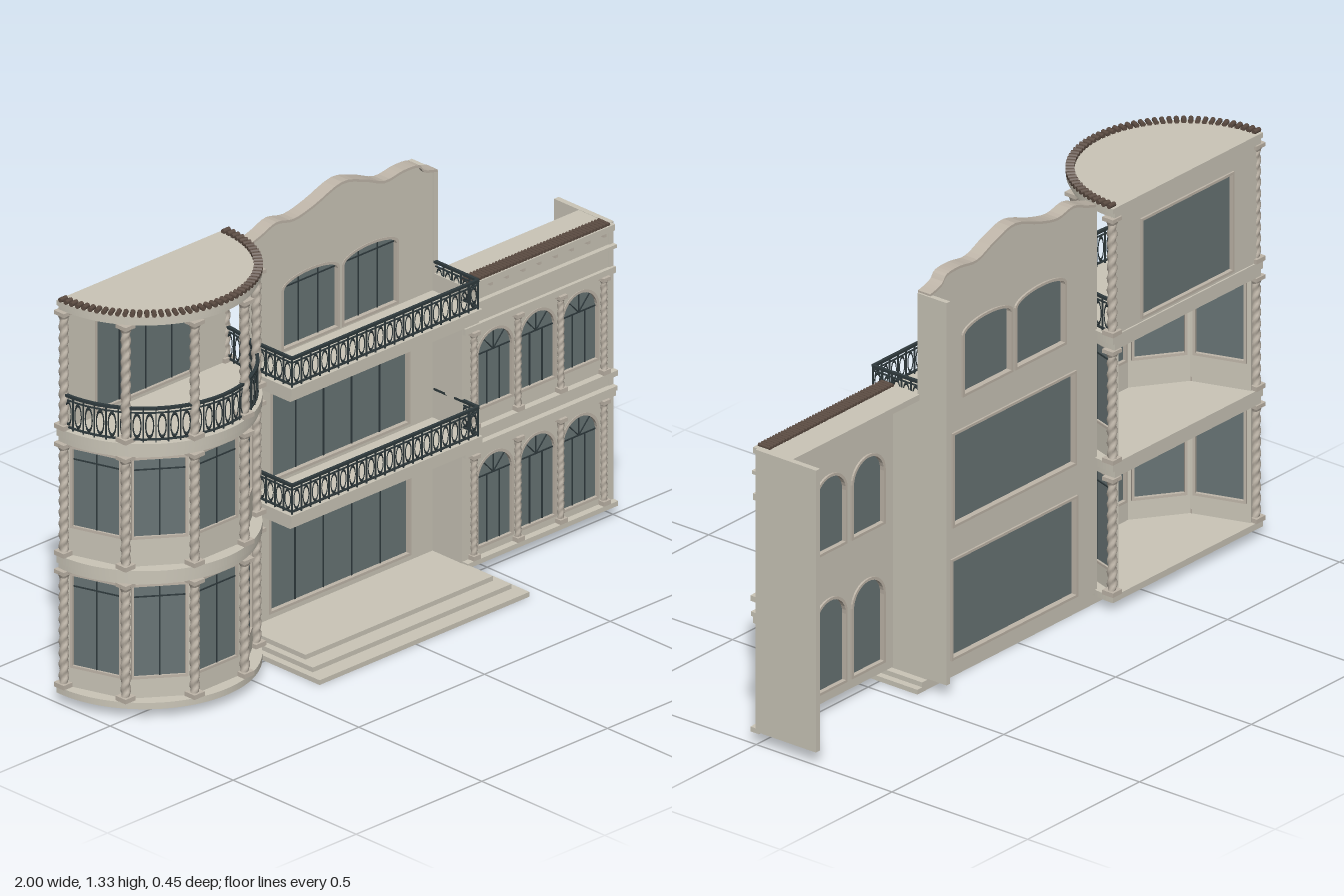
import * as THREE from 'three';
import { mergeGeometries } from 'three/addons/utils/BufferGeometryUtils.js';

const mat = (name, color) => {
  const m = new THREE.MeshStandardMaterial({ color });
  m.name = name;
  return m;
};

export function createModel() {
  const root = new THREE.Group();
  root.name = 'mansionFacade';
  const stone = mat('cream stone', 0xcbc6b8), trim = mat('carved trim', 0xbfb6a9);
  const glass = mat('grey glass', 0x687475), iron = mat('dark iron', 0x2f3a3d), clay = mat('brown tile', 0x5c4c42);

  // Helpers
  const part = (name, material, geos, parent = root) => {
    const mesh = new THREE.Mesh(Array.isArray(geos) ? mergeGeometries(geos) : geos, material);
    mesh.name = name;
    parent.add(mesh);
    return mesh;
  };
  const box = (x0, x1, y0, y1, z0, z1) => new THREE.BoxGeometry(x1 - x0, y1 - y0, z1 - z0)
    .translate((x0 + x1) / 2, (y0 + y1) / 2, (z0 + z1) / 2);
  const extrude = (shape, z0, z1) => new THREE.ExtrudeGeometry(shape, { depth: z1 - z0, bevelEnabled: false, curveSegments: 48 })
    .translate(0, 0, z0);
  const outline = (pts, Type = THREE.Shape) => new Type(pts.map(p => new THREE.Vector2(p[0], p[1])));

  // Window outline: a rectangle whose top may rise in an elliptical arch
  const opening = (o, inset = 0) => {
    const w = (o.x1 - o.x0) / 2 - inset, cx = (o.x0 + o.x1) / 2, rise = o.rise ? o.rise - inset * 0.5 : 0;
    const spring = o.y1 - inset - rise;
    const pts = [[cx - w, o.y0 + inset], [cx + w, o.y0 + inset], [cx + w, spring]];
    if (rise) for (let i = 1; i < 16; i++) pts.push([cx + w * Math.cos(i * Math.PI / 16), spring + rise * Math.sin(i * Math.PI / 16)]);
    pts.push([cx - w, spring]);
    return pts;
  };

  // Wall with openings, each filled with a frame, glass and glazing bars
  const wall = (name, pts, openings, z0, z1) => {
    const g = new THREE.Group();
    g.name = name;
    root.add(g);
    const s = outline(pts);
    openings.forEach(o => s.holes.push(outline(opening(o), THREE.Path)));
    part('wallPanel', stone, extrude(s, z0, z1), g);
    const zm = (z0 + z1) / 2, bars = [], frames = [], panes = [];
    for (const o of openings) {
      const f = outline(opening(o));
      f.holes.push(outline(opening(o, 0.008), THREE.Path));
      frames.push(extrude(f, z0 - 0.006, z1 + 0.002));
      panes.push(extrude(outline(opening(o, 0.004)), zm - 0.003, zm + 0.003));
      const cx = (o.x0 + o.x1) / 2, spring = o.y1 - (o.rise || 0), n = o.panes;
      const barZ = [zm + 0.002, zm + 0.006];
      for (let i = 1; i < n; i++) {
        const x = o.x0 + (o.x1 - o.x0) * i / n;
        bars.push(box(x - 0.002, x + 0.002, o.y0, o.fan ? spring : o.y1 - 0.012, ...barZ));
      }
      if (o.rise) bars.push(box(o.x0, o.x1, spring - 0.002, spring + 0.002, ...barZ));
      if (o.fan) for (const a of [-0.75, 0, 0.75])
        bars.push(new THREE.BoxGeometry(0.003, o.rise - 0.005, 0.004).translate(0, o.rise / 2, 0)
          .rotateZ(a).translate(cx, spring, zm + 0.004));
    }
    part('windowFrames', trim, frames, g);
    part('windowGlass', glass, panes, g);
    part('glazingBars', iron, bars, g);
    return g;
  };

  // Twisted column with square base and capital
  const column = (x, z, y0, y1, r) => {
    const h = y1 - y0, shaft = new THREE.CylinderGeometry(r, r, h - 0.02, 12, 36, true);
    const p = shaft.attributes.position;
    for (let i = 0; i < p.count; i++) {
      const a = Math.atan2(p.getZ(i), p.getX(i));
      const k = 1 + 0.18 * Math.cos(2 * a + p.getY(i) * 2.4 / r);
      p.setX(i, p.getX(i) * k);
      p.setZ(i, p.getZ(i) * k);
    }
    shaft.computeVertexNormals();
    const cap = new THREE.CylinderGeometry(r * 1.55, r, r * 1.2, 12).translate(0, h / 2 - 0.008 - r * 0.6, 0);
    const b = r * 1.5;
    return mergeGeometries([shaft, cap, box(-b, b, h / 2 - 0.012, h / 2, -b, b), box(-b, b, -h / 2, 0.014 - h / 2, -b, b)])
      .translate(x, (y0 + y1) / 2, z);
  };

  // Iron railing along a ground path of [x, z] points, one oval per step
  const railing = (name, path, y0, h) => {
    const geos = [];
    for (let i = 0; i + 1 < path.length; i++) {
      const [ax, az] = path[i], [bx, bz] = path[i + 1], L = Math.hypot(bx - ax, bz - az);
      const piece = mergeGeometries([
        box(-L / 2, L / 2, h - 0.008, h, -0.005, 0.005),
        box(-L / 2, L / 2, h - 0.02, h - 0.016, -0.002, 0.002),
        box(-L / 2, L / 2, 0.006, 0.011, -0.003, 0.003),
        box(-L / 2 - 0.002, -L / 2 + 0.002, 0, h, -0.002, 0.002),
        new THREE.TorusGeometry(0.0115, 0.0018, 4, 14).scale(1, (h - 0.03) / 0.026, 1).translate(0, h / 2 - 0.004, 0),
      ]);
      geos.push(piece.rotateY(-Math.atan2(bz - az, bx - ax)).translate((ax + bx) / 2, y0, (az + bz) / 2));
    }
    part(name, iron, geos);
  };

  // Round tower
  const tx = -0.6625, tz = -0.205, R = 0.335;
  const halfDisc = (r, y0, y1) => {
    const s = new THREE.Shape();
    s.moveTo(tx + r, 0.22);
    s.lineTo(tx + r, -tz);
    s.absarc(tx, -tz, r, 0, -Math.PI, true);
    s.lineTo(tx - r, 0.22);
    return extrude(s, y0, y1).rotateX(-Math.PI / 2);
  };
  part('towerBase', stone, halfDisc(R, 0.03, 0.05));
  for (const y of [0.42, 0.82])
    part('towerFloor', stone, [halfDisc(R - 0.008, y, y + 0.02), halfDisc(R, y + 0.02, y + 0.045)]);
  part('towerRoof', stone, [halfDisc(R - 0.008, 1.235, 1.25), halfDisc(R, 1.25, 1.266)]);

  const polar = (r, a) => [tx + r * Math.cos(a), tz + r * Math.sin(a)];
  const towerColumns = [];
  for (const [y0, y1] of [[0.05, 0.42], [0.465, 0.82], [0.865, 1.235]])
    for (let k = 0; k < 6; k++) towerColumns.push(column(...polar(0.321, k * Math.PI / 5), y0, y1, 0.0135));
  part('towerColumns', trim, towerColumns);

  // Five glazed bays on each of the two lower tower floors
  for (const [y0, sill, y1] of [[0.05, 0.11, 0.42], [0.465, 0.55, 0.82]])
    for (let k = 0; k < 5; k++) {
      const a = (k + 0.5) * Math.PI / 5, [x, z] = polar(0.289, a), w = 0.094;
      const bay = wall('towerBay', [[-w, y0], [w, y0], [w, y1], [-w, y1]],
        [{ x0: -0.082, x1: 0.082, y0: sill, y1: y1 - 0.012, panes: 2 }], -0.008, 0.008);
      part('transom', iron, box(-0.08, 0.08, y1 - 0.055, y1 - 0.051, 0.002, 0.006), bay);
      bay.position.set(x, 0, z);
      bay.rotation.y = Math.PI / 2 - a;
    }
  wall('towerTopWall', [[-0.985, 0.86], [-0.335, 0.86], [-0.335, 1.236], [-0.985, 1.236]],
    [{ x0: -0.87, x1: -0.455, y0: 0.875, y1: 1.19, panes: 4 }], -0.215, -0.195);
  railing('towerRailing', Array.from({ length: 29 }, (_, i) => polar(0.322, i * Math.PI / 28)), 0.865, 0.11);

  // Roof tiles along the tower edge
  const tile = () => new THREE.CylinderGeometry(0.0075, 0.0075, 0.026, 8).rotateX(Math.PI / 2);
  const towerTiles = [];
  for (let i = 0; i <= 50; i++) {
    const a = i * Math.PI / 50, [x, z] = polar(R - 0.011, a);
    towerTiles.push(tile().rotateY(Math.PI / 2 - a).translate(x, 1.271, z));
  }
  part('towerTiles', clay, towerTiles);

  // Central block with wavy gable
  const crest = new THREE.SplineCurve([[-0.34, 1.25], [-0.29, 1.265], [-0.23, 1.285], [-0.16, 1.273], [-0.08, 1.29],
    [0.03, 1.325], [0.12, 1.303], [0.2, 1.272], [0.275, 1.28], [0.335, 1.276], [0.36, 1.252], [0.41, 1.238]]
    .map(p => new THREE.Vector2(...p))).getPoints(44).map(p => [p.x, p.y]);
  wall('centralWall', [[0.41, 0.04], ...crest.slice().reverse(), [-0.34, 0.04]], [
    { x0: -0.25, x1: 0.315, y0: 0.06, y1: 0.378, panes: 5 },
    { x0: -0.245, x1: 0.31, y0: 0.475, y1: 0.772, panes: 5 },
    { x0: -0.2, x1: 0.03, y0: 0.87, y1: 1.1, rise: 0.035, panes: 3 },
    { x0: 0.04, x1: 0.265, y0: 0.87, y1: 1.1, rise: 0.035, panes: 3 },
  ], -0.15, -0.12);
  const coping = [...crest, ...crest.slice().reverse().map(([x, y]) => [x, y + 0.008])];
  part('gableCoping', trim, extrude(outline(coping), -0.155, -0.11));
  part('centralSideWall', stone, [box(0.4, 0.416, 0.04, 1.24, -0.22, -0.113), box(0.4, 0.416, 0.04, 0.92, -0.113, 0)]);

  // Balconies
  for (const y of [0.42, 0.82]) {
    part('balconySlab', stone, [box(-0.34, 0.41, y, y + 0.022, -0.125, 0.058), box(-0.345, 0.415, y + 0.022, y + 0.045, -0.125, 0.068)]);
    const path = [];
    for (let i = 0; i < 5; i++) path.push([-0.335, -0.115 + i * 0.035]);
    for (let i = 0; i < 20; i++) path.push([-0.335 + i * 0.037, 0.06]);
    for (let i = 0; i <= 5; i++) path.push([0.405, 0.06 - i * 0.035]);
    railing('balconyRailing', path, y + 0.045, 0.095);
  }

  // Entrance steps
  [[-0.385, 0.45, 0.223], [-0.362, 0.428, 0.172], [-0.34, 0.405, 0.12]].forEach(([x0, x1, z1], i) =>
    part('entranceStep', stone, box(x0, x1, i * 0.015, (i + 1) * 0.015, -0.14, z1)));

  // Side wing with arched windows
  const arches = [];
  for (const cx of [0.53, 0.7, 0.87])
    for (const [y0, y1] of [[0.07, 0.36], [0.505, 0.748]])
      arches.push({ x0: cx - 0.075, x1: cx + 0.075, y0, y1, rise: 0.07, panes: 3, fan: true });
  wall('wingWall', [[0.4, 0.04], [0.985, 0.04], [0.985, 0.915], [0.4, 0.915]], arches, -0.022, 0);
  part('wingEndWall', stone, box(0.982, 1, 0.04, 0.925, -0.22, 0.003));
  part('wingRoof', stone, box(0.412, 0.99, 0.905, 0.924, -0.12, 0.02));
  part('wingBands', stone, [[0.035, 0.05, 0.022], [0.378, 0.398, 0.012], [0.398, 0.412, 0.02], [0.445, 0.462, 0.022],
    [0.765, 0.785, 0.012], [0.845, 0.856, 0.016]].map(([y0, y1, z1]) => box(0.402, 1, y0, y1, -0.01, z1)));
  const wingColumns = [], brackets = [], wingTiles = [];
  for (const x of [0.44, 0.615, 0.785, 0.957])
    for (const [y0, y1] of [[0.05, 0.38], [0.462, 0.767]]) wingColumns.push(column(x, 0.008, y0, y1, 0.0095));
  part('wingColumns', trim, wingColumns);
  for (let i = 0; i < 9; i++) {
    const x = 0.44 + i * 0.0645;
    brackets.push(box(x - 0.005, x + 0.005, 0.892, 0.906, -0.002, 0.014));
  }
  part('wingBrackets', trim, brackets);
  for (let i = 0; i < 44; i++)
    wingTiles.push(tile().scale(0.7, 0.9, 1.7).translate(0.424 + i * 0.0127, 0.927, -0.007));
  part('wingTiles', clay, wingTiles);

  return root;
}
